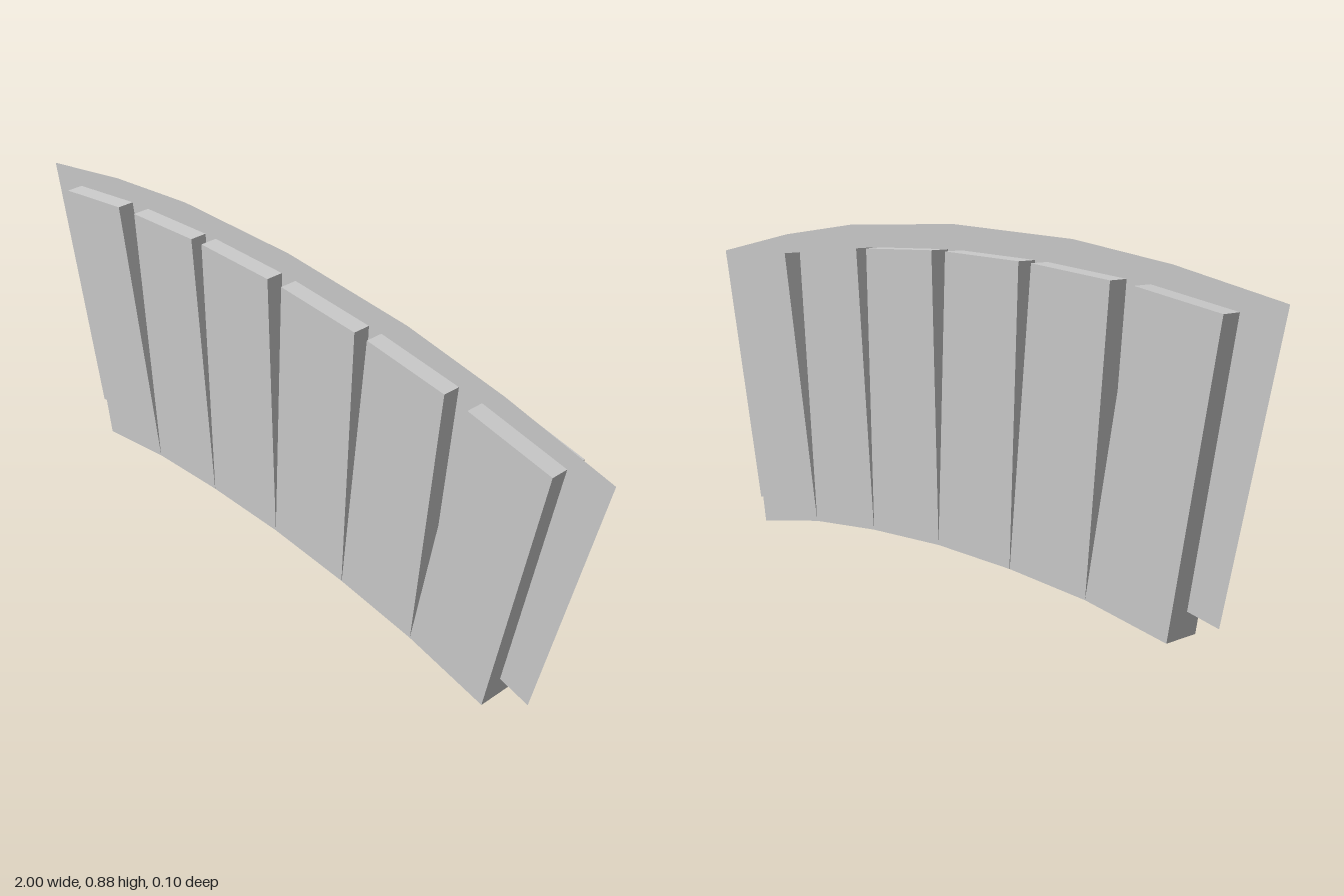
import * as THREE from 'three';

const material = new THREE.MeshStandardMaterial({ color: 0xcccccc, flatShading: true, side: THREE.DoubleSide });

const outline = (points) => new THREE.Shape(points.map(([x, y]) => new THREE.Vector2(x, y)));
const mirror = ([x, y]) => [-x, y];

// Slat corners on the +x side: bottom inner, bottom outer, top outer, top inner
const SLATS = [
  [[0, 0.077], [0.256, 0.068], [0.279, 0.813], [0.025, 0.822]],
  [[0.257, 0.068], [0.504, 0.046], [0.564, 0.788], [0.32, 0.811]],
  [[0.504, 0.046], [0.747, 0.002], [0.876, 0.74], [0.633, 0.781]],
];
const THICKNESS = 0.1;

export function createModel() {
  const model = new THREE.Group();
  model.name = 'curvedSlattedPanel';

  // Thin fan-shaped sheet with faceted arcs along the top and bottom
  const top = [[1, 0.766], [0.695, 0.828], [0.4, 0.868], [0, 0.885]];
  const bottom = [[0, 0.15], [0.34, 0.133], [0.6, 0.1], [0.847, 0.047]];
  const sheetPoints = [
    ...top,
    ...top.slice(0, -1).reverse().map(mirror),
    ...bottom.slice(1).reverse().map(mirror),
    ...bottom,
  ];
  const sheet = new THREE.Mesh(new THREE.ShapeGeometry(outline(sheetPoints)), material);
  sheet.name = 'backingSheet';
  sheet.position.z = 0.005;
  model.add(sheet);

  // Six thick slats fanned along the arc, passing through the sheet
  SLATS.forEach((corners, i) => {
    for (const side of ['left', 'right']) {
      const points = side === 'left' ? corners : corners.map(mirror);
      const geometry = new THREE.ExtrudeGeometry(outline(points), { depth: THICKNESS, bevelEnabled: false });
      geometry.translate(0, 0, -THICKNESS / 2);
      const slat = new THREE.Mesh(geometry, material);
      slat.name = `${side}Slat${i + 1}`;
      model.add(slat);
    }
  });

  return model;
}
